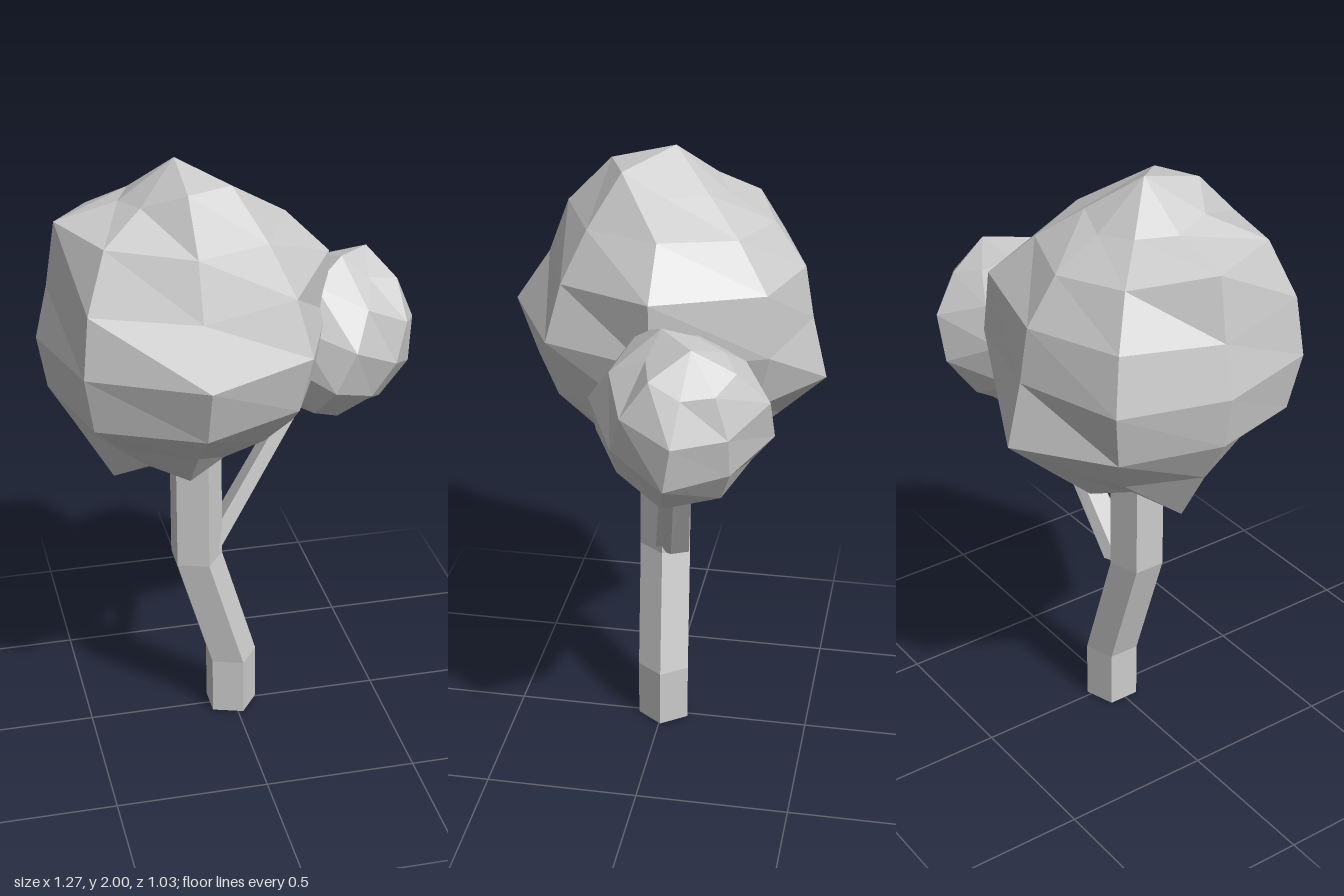
import * as THREE from 'three';

const material = new THREE.MeshStandardMaterial({ color: 0xcccccc, flatShading: true });

// Leaf ball: a sphere whose vertices are pushed to the distance radiusAt(ring, meridian)
function leafBall(name, rings, radiusAt) {
  const geometry = new THREE.SphereGeometry(1, 8, rings);
  const pos = geometry.attributes.position;
  const v = new THREE.Vector3();
  for (let i = 0; i < pos.count; i++) {
    const ring = Math.floor(i / 9), meridian = (i % 9) % 8;
    v.fromBufferAttribute(pos, i).multiplyScalar(radiusAt(ring, meridian));
    pos.setXYZ(i, v.x, v.y, v.z);
  }
  geometry.computeVertexNormals();
  const mesh = new THREE.Mesh(geometry, material);
  mesh.name = name;
  return mesh;
}

// Five-sided limb through horizontal sections [x, y, z, half width x, half width z]
function limb(name, sections) {
  const sides = 5, positions = [], index = [];
  for (const [x, y, z, rx, rz] of sections) {
    for (let s = 0; s < sides; s++) {
      const a = (s / sides) * Math.PI * 2;
      positions.push(x + rx * Math.cos(a), y, z + rz * Math.sin(a));
    }
  }
  const last = (sections.length - 1) * sides;
  for (let r = 0; r < last; r += sides) {
    for (let s = 0; s < sides; s++) {
      const a = r + s, b = r + (s + 1) % sides;
      index.push(a, a + sides, b, b, a + sides, b + sides);
    }
  }
  // End caps
  for (let s = 1; s < sides - 1; s++) {
    index.push(0, s, s + 1, last, last + s + 1, last + s);
  }
  const geometry = new THREE.BufferGeometry();
  geometry.setAttribute('position', new THREE.Float32BufferAttribute(positions, 3));
  geometry.setIndex(index);
  geometry.computeVertexNormals();
  const mesh = new THREE.Mesh(geometry, material);
  mesh.name = name;
  return mesh;
}

export function createModel() {
  const tree = new THREE.Group();
  tree.name = 'tree';

  // Bent trunk and side branch
  tree.add(limb('trunk', [
    [-0.01, 0, -0.005, 0.09, 0.09],
    [-0.01, 0.2, -0.005, 0.09, 0.09],
    [-0.13, 0.61, 0.01, 0.09, 0.09],
    [-0.13, 1.15, 0.01, 0.09, 0.09],
  ]));
  tree.add(limb('branch', [
    [-0.08, 0.61, -0.02, 0.04, 0.06],
    [0.3, 1.22, -0.1, 0.036, 0.048],
  ]));

  // Large crown: ring radii from top to bottom, meridians from -x by way of +z
  const radii = [
    [0.46, 0.48, 0.54, 0.54, 0.47, 0.47, 0.44, 0.46],
    [0.53, 0.53, 0.495, 0.48, 0.495, 0.47, 0.45, 0.48],
    [0.44, 0.505, 0.45, 0.475, 0.535, 0.52, 0.455, 0.48],
    [0.445, 0.495, 0.53, 0.5, 0.49, 0.5, 0.45, 0.488],
    [0.45, 0.49, 0.5, 0.49, 0.5, 0.48, 0.54, 0.48],
    [0.46, 0.44, 0.45, 0.46, 0.54, 0.47, 0.49, 0.46],
    [0.56, 0.46, 0.5, 0.46, 0.49, 0.48, 0.52, 0.47],
  ];
  const crown = leafBall('largeCrown', 8, (ring, m) =>
    ring === 0 ? 0.55 : ring === 8 ? 0.48 : radii[ring - 1][m]);
  crown.position.set(-0.18, 1.45, -0.01);
  tree.add(crown);

  // Small crown, leaning along the branch
  const small = leafBall('smallCrown', 6, (ring, m) =>
    ring === 0 ? 0.31 : ring === 6 ? 0.27 : 0.277 + 0.02 * Math.sin(ring * 5.3 + m * 2.7));
  small.position.set(0.355, 1.32, -0.12);
  small.quaternion.setFromUnitVectors(
    new THREE.Vector3(0, 1, 0), new THREE.Vector3(0.42, 0.9, -0.16).normalize());
  tree.add(small);

  return tree;
}
